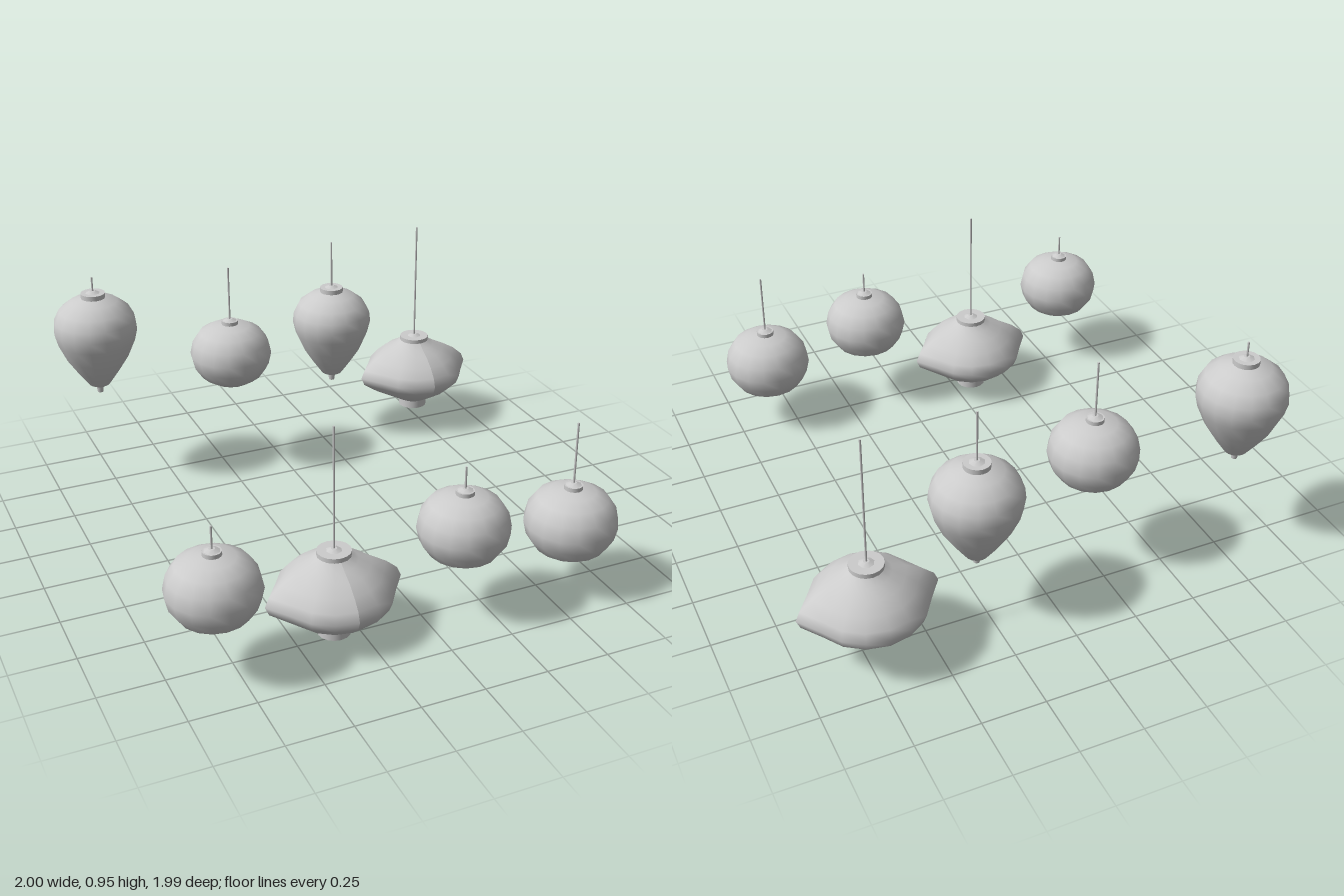
import * as THREE from 'three';

const SIDES = 16;
const material = new THREE.MeshStandardMaterial({ color: 0xcccccc, side: THREE.DoubleSide });

// Profiles run bottom to top as [radius, height]; cap and foot are [radius, bottom, top]
const STYLES = {
  round: {
    body: [[0.02, -0.142], [0.08, -0.131], [0.13, -0.1], [0.163, -0.052], [0.175, 0], [0.163, 0.055],
      [0.132, 0.1], [0.085, 0.125], [0.035, 0.134]],
    cap: [0.035, 0.125, 0.15], foot: [0.017, -0.158, -0.135],
  },
  pear: {
    body: [[0.022, -0.262], [0.045, -0.25], [0.088, -0.19], [0.13, -0.125], [0.163, -0.05], [0.175, 0],
      [0.17, 0.045], [0.147, 0.09], [0.1, 0.126], [0.05, 0.142]],
    cap: [0.051, 0.135, 0.162], foot: [0.017, -0.29, -0.255],
  },
  wide: {
    body: [[0.063, 0.035], [0.11, 0.062], [0.165, 0.097], [0.212, 0.14], [0.225, 0.175], [0.212, 0.212],
      [0.178, 0.252], [0.135, 0.287], [0.09, 0.312], [0.065, 0.332]],
    cap: [0.065, 0.325, 0.35], foot: [0.063, 0, 0.04],
    pointed: true,
  },
};

function addMesh(group, name, geometry, y = 0) {
  const mesh = new THREE.Mesh(geometry, material);
  mesh.name = name;
  mesh.position.y = y;
  group.add(mesh);
}

function ring(group, name, [radius, bottom, top], sides = SIDES, lower = radius) {
  addMesh(group, name, new THREE.CylinderGeometry(radius, lower, top - bottom, sides), (bottom + top) / 2);
}

// Pull the two side columns of a lathed body outward into points
function pointSides(geometry) {
  const p = geometry.attributes.position;
  for (let i = 0; i < p.count; i++) {
    if (Math.abs(p.getZ(i)) > 0.001) continue;
    const r = Math.abs(p.getX(i));
    p.setX(i, p.getX(i) * (1 + 0.2 * THREE.MathUtils.smoothstep(r, 0.06, 0.215)));
  }
  geometry.computeVertexNormals();
}

function makeLantern(styleName, cordTop) {
  const style = STYLES[styleName];
  const lantern = new THREE.Group();
  const body = new THREE.LatheGeometry(style.body.map(([r, y]) => new THREE.Vector2(r, y)), SIDES);
  if (style.pointed) pointSides(body);
  addMesh(lantern, 'lanternBody', body);
  ring(lantern, 'topCap', style.cap);
  ring(lantern, 'foot', style.foot, SIDES, style.pointed ? style.foot[0] : style.foot[0] * 0.7);
  // Small dome where the cord meets the cap
  const top = style.cap[2];
  ring(lantern, 'cordSocket', [0.012, top, top + 0.008], 8, 0.03);
  ring(lantern, 'cord', [0.004, top, cordTop], 6);
  return lantern;
}

export function createModel() {
  const model = new THREE.Group();
  model.name = 'hangingLanterns';
  // style, x, y, z, cord top height, scale
  const layout = [
    ['round', -0.825, 0.365, 0.8, 0.61, 1],
    ['wide', -0.34, 0, 0.717, 0.845, 1],
    ['round', 0.135, 0.385, 0.81, 0.63, 1],
    ['round', 0.597, 0.3, 0.81, 0.71, 1.03],
    ['pear', -0.782, 0.715, -0.767, 0.945, 1],
    ['round', -0.223, 0.552, -0.657, 0.94, 1],
    ['pear', 0.302, 0.572, -0.767, 0.945, 1],
    ['wide', 0.725, 0.077, -0.77, 0.955, 1],
  ];
  for (const [style, x, y, z, cordTop, scale] of layout) {
    const lantern = makeLantern(style, (cordTop - y) / scale);
    lantern.name = style + 'Lantern';
    lantern.position.set(x, y, z);
    lantern.scale.setScalar(scale);
    model.add(lantern);
  }
  return model;
}
